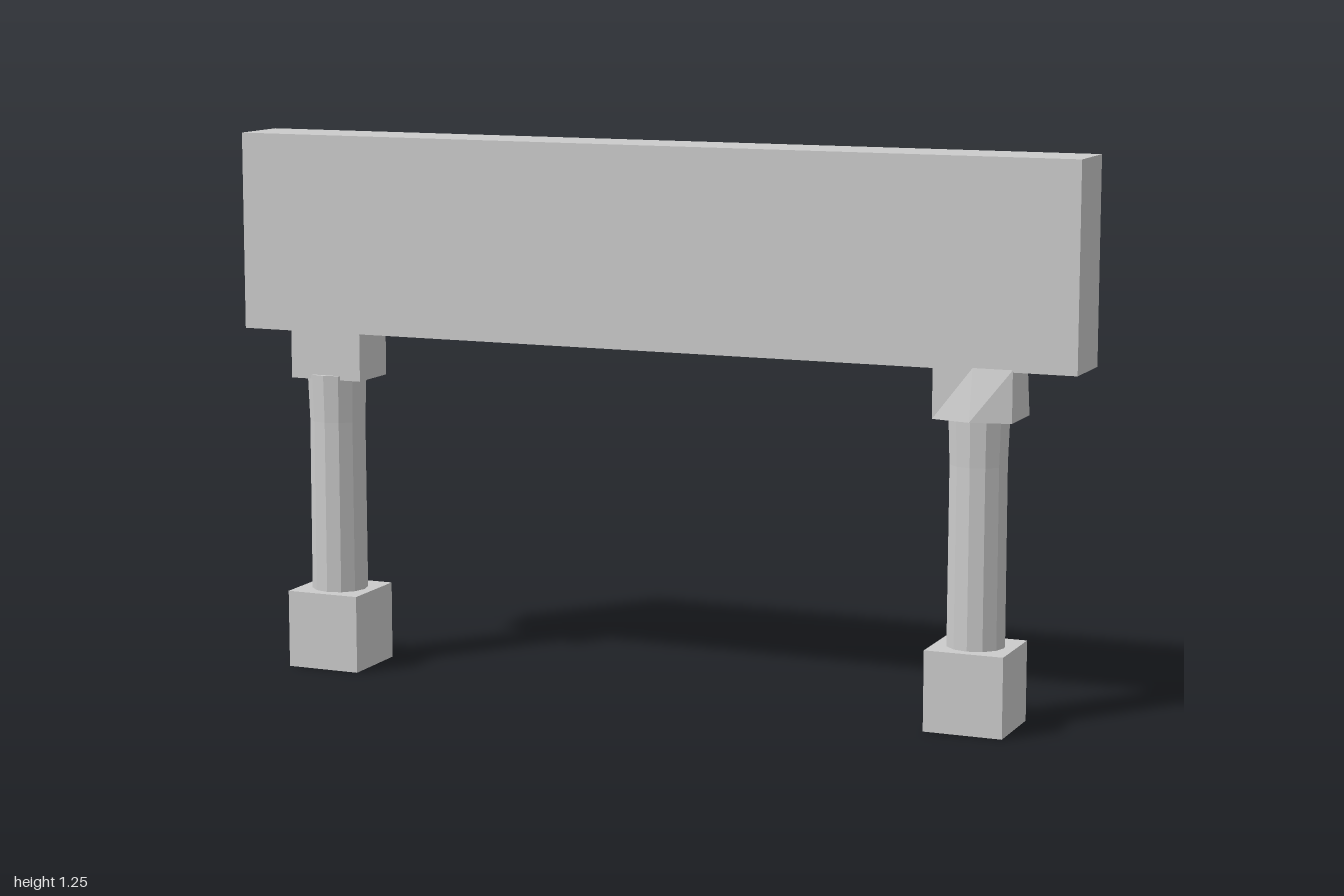
import * as THREE from 'three';

const material = new THREE.MeshStandardMaterial({ color: 0xcccccc, flatShading: true });

function part(name, geometry, parent, x = 0, y = 0, z = 0) {
  const mesh = new THREE.Mesh(geometry, material);
  mesh.name = name;
  mesh.position.set(x, y, z);
  parent.add(mesh);
  return mesh;
}

// Block whose middle is pushed out: a ridge at the front bottom and the back top
function ridgedCap(width, height, depth) {
  const geometry = new THREE.BoxGeometry(width, height, depth, 2, 1, 1);
  const p = geometry.attributes.position;
  for (let i = 0; i < p.count; i++) {
    const middle = Math.abs(p.getX(i)) < 0.001;
    const top = p.getY(i) > 0;
    if (p.getZ(i) > 0) {
      if (middle && !top) p.setZ(i, p.getZ(i) + 0.02);
    } else if (!middle && top) p.setZ(i, p.getZ(i) + 0.02);
  }
  geometry.computeVertexNormals();
  return geometry;
}

export function createModel() {
  const model = new THREE.Group();
  model.name = 'signOnPosts';

  // Board: a front slab with a raised frame around the back
  const board = new THREE.Group();
  board.name = 'board';
  model.add(board);
  const bottom = 0.79, height = 0.455, front = 0.06, back = -0.095;
  const recess = 0.045, border = 0.04, rail = 0.033;
  const slab = front - back - recess;
  part('panel', new THREE.BoxGeometry(2, height, slab), board, 0, bottom + height / 2, front - slab / 2);

  const frame = new THREE.Shape();
  frame.moveTo(-1, 0).lineTo(1, 0).lineTo(1, height).lineTo(-1, height).closePath();
  const opening = new THREE.Path();
  opening.moveTo(border - 1, rail).lineTo(border - 1, height - rail)
    .lineTo(1 - border, height - rail).lineTo(1 - border, rail).closePath();
  frame.holes.push(opening);
  part('backFrame', new THREE.ExtrudeGeometry(frame, { depth: recess, bevelEnabled: false }),
    board, 0, bottom, back);

  // Posts: block foot, faceted column with a slight flare, cap under the board
  const profile = [[0, 0.17], [0.065, 0.17], [0.064, 0.58], [0.068, 0.69], [0, 0.69]]
    .map(([r, y]) => new THREE.Vector2(r, y));
  for (const [side, x] of [['right', -0.79], ['left', 0.77]]) {
    const post = new THREE.Group();
    post.name = side + 'Post';
    post.position.x = x;
    model.add(post);
    part('foot', new THREE.BoxGeometry(0.178, 0.18, 0.178), post, 0, 0.09, 0.005);
    part('column', new THREE.LatheGeometry(profile, 12), post, 0, 0, 0.005);
    const cap = side === 'left' ? ridgedCap(0.178, 0.115, 0.13) : new THREE.BoxGeometry(0.178, 0.115, 0.13);
    part('cap', cap, post, 0, 0.7375, -0.005);
  }
  return model;
}
